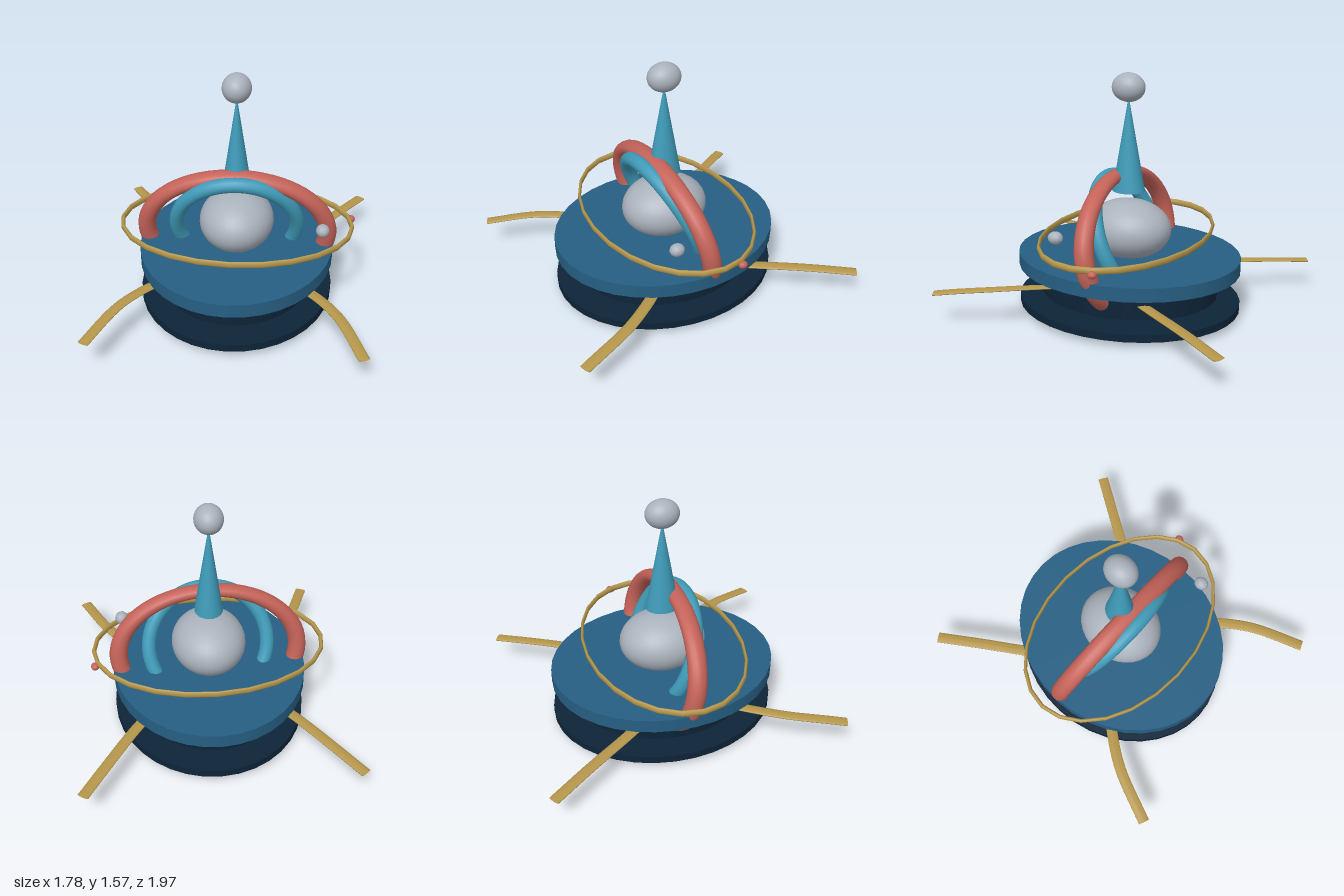
import * as THREE from 'three';

const mat = (name, color, side = THREE.FrontSide) => {
  const m = new THREE.MeshStandardMaterial({ color, side });
  m.name = name;
  return m;
};

export function createModel() {
  const model = new THREE.Group();
  model.name = 'orbitSculpture';

  const blue = mat('deep blue', 0x265f83);
  const navy = mat('navy', 0x0d2438);
  const teal = mat('teal', 0x3f9bb9);
  const red = mat('coral red', 0xc46258);
  const gold = mat('gold', 0xb5964b, THREE.DoubleSide);
  const grey = mat('silver grey', 0xaab2bc);

  const add = (name, geo, material, pos = [0, 0, 0], scale = [1, 1, 1]) => {
    const mesh = new THREE.Mesh(geo, material);
    mesh.name = name;
    mesh.position.set(...pos);
    mesh.scale.set(...scale);
    model.add(mesh);
    return mesh;
  };

  // Oval base: two plates with a narrower drum between them
  const disc = (name, material, rx, rz, y0, y1) =>
    add(name, new THREE.CylinderGeometry(1, 1, 1, 36), material, [0, (y0 + y1) / 2, 0], [rx, y1 - y0, rz]);
  disc('bottomPlate', navy, 0.64, 0.75, 0.04, 0.09);
  disc('drum', navy, 0.51, 0.6, 0.125, 0.275);
  disc('topPlate', blue, 0.64, 0.75, 0.3, 0.39);

  // Core globe, spire and finial
  const ball = (name, material, pos, scale, w = 32, h = 20) =>
    add(name, new THREE.SphereGeometry(1, w, h), material, pos, scale);
  ball('core', grey, [0, 0.55, 0], [0.245, 0.195, 0.287]);
  add('spire', new THREE.CylinderGeometry(0.03, 1, 0.6, 28), teal, [0, 1.105, 0], [0.093, 1, 0.109]);
  ball('finial', grey, [0, 1.48, 0], [0.093, 0.093, 0.11]);

  // Upright tilted hoops
  const outerHoop = add('outerHoop', new THREE.TorusGeometry(1, 0.1, 16, 64), red, [0, 0.472, 0], [0.6, 0.435, 0.62]);
  outerHoop.rotation.set(0.185, 0.01, 0);
  const innerHoop = add('innerHoop', new THREE.TorusGeometry(1, 0.118, 16, 64), teal, [0, 0.517, 0.005], [0.398, 0.395, 0.42]);
  innerHoop.rotation.set(0.385, 0.05, 0);

  // Level oval rings
  const levelRing = (name, y, rx, rz, tube, ry, segments) => {
    const geo = new THREE.TorusGeometry(1, tube, 10, segments).rotateX(Math.PI / 2);
    return add(name, geo, gold, [0, y, 0], [rx, ry / tube, rz]);
  };
  levelRing('orbitRing', 0.522, 0.76, 0.513, 0.018, 0.022, 24);
  levelRing('collarRing', 0.28, 0.5, 0.26, 0.06, 0.03, 48);

  // Small satellites
  ball('redSatellite', red, [0.755, 0.505, -0.135], [0.027, 0.024, 0.031], 12, 8);
  ball('greySatellite', grey, [0.565, 0.62, 0.22], [0.044, 0.041, 0.05], 10, 8);

  // Flattened arms, gently arched as they leave the drum
  const arm = (name, points, side, arch) => {
    const path = new THREE.CatmullRomCurve3(points.map(([x, z]) => new THREE.Vector3(x * side, 0, z)));
    const width = 0.038;
    const geo = new THREE.TubeGeometry(path, 20, width, 10, false);
    const p = geo.attributes.position;
    for (let i = 0; i < p.count; i++) {
      const t = THREE.MathUtils.clamp((Math.hypot(p.getX(i), p.getZ(i)) - 0.45) / 0.83, 0, 1);
      p.setY(i, p.getY(i) * 0.25 + arch(t));
    }
    geo.computeVertexNormals();
    add(name, geo, gold);
  };
  const frontPath = [[0.4, 0.27], [0.525, 0.4], [0.68, 0.62], [0.83, 0.97]];
  const backPath = [[0.38, -0.25], [0.525, -0.455], [0.69, -0.71], [0.86, -0.97]];
  for (const side of [1, -1]) {
    const label = side > 0 ? 'Left' : 'Right';
    arm('front' + label + 'Arm', frontPath, side, t => 0.232 - 0.015 * t + 0.028 * Math.sin(Math.PI * t));
    arm('back' + label + 'Arm', backPath, side, t => 0.212 - 0.012 * t + 0.012 * Math.sin(Math.PI * t));
  }

  return model;
}
